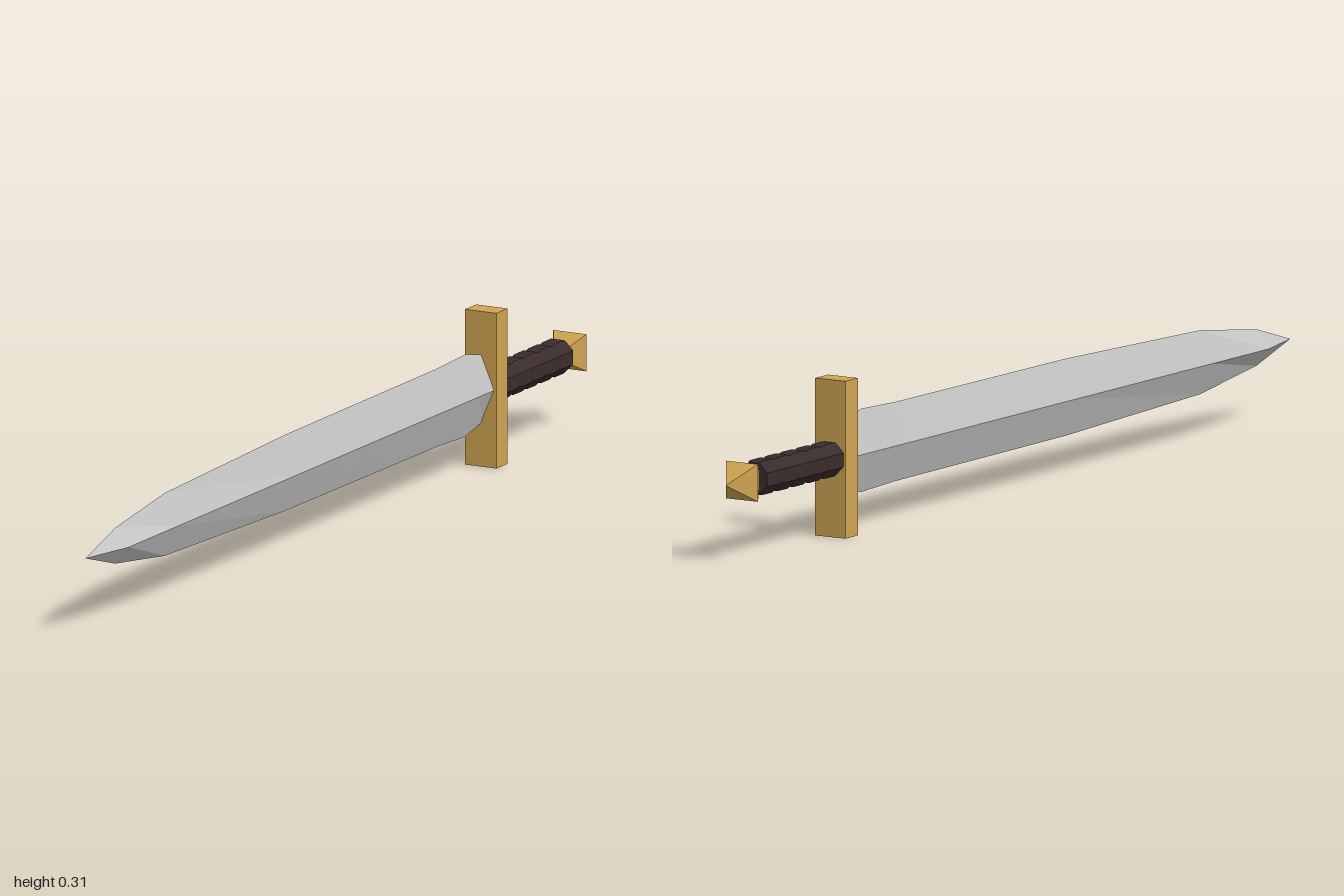
import * as THREE from 'three';

const AXIS_Y = 0.155;

// Flat-faced solid along z from sections [z, halfX, halfY], listed back to front
function loft(sections, sides, phase = 0) {
  const rings = sections.map(([z, hx, hy]) => Array.from({ length: sides }, (_, j) => {
    const a = phase + (j / sides) * Math.PI * 2;
    return [Math.cos(a) * hx, Math.sin(a) * hy, z];
  }));
  const pos = [];
  for (let i = 0; i < rings.length - 1; i++) {
    const [back, front] = [rings[i], rings[i + 1]];
    for (let j = 0; j < sides; j++) {
      const k = (j + 1) % sides;
      if (sections[i][1] > 0) pos.push(...back[j], ...back[k], ...front[k]);
      if (sections[i + 1][1] > 0) pos.push(...back[j], ...front[k], ...front[j]);
    }
  }
  const g = new THREE.BufferGeometry();
  g.setAttribute('position', new THREE.Float32BufferAttribute(pos, 3));
  g.computeVertexNormals();
  return g;
}

function material(name, color) {
  const m = new THREE.MeshStandardMaterial({ color, flatShading: true });
  m.name = name;
  return m;
}

export function createModel() {
  const group = new THREE.Group();
  group.name = 'sword';
  const steel = material('steel', 0xc4c4c4);
  const gold = material('gold', 0xcfa452);
  const leather = material('dark leather', 0x3a2c2d);

  const add = (name, geometry, mat, z = 0) => {
    const mesh = new THREE.Mesh(geometry, mat);
    mesh.name = name;
    mesh.position.set(0, AXIS_Y, z);
    group.add(mesh);
  };

  // Diamond-section blade, swelling by the guard and tapering to the tip
  add('blade', loft([
    [-0.6, 0.029, 0.066], [-0.52, 0.029, 0.082], [-0.4, 0.029, 0.078],
    [0.2, 0.029, 0.076], [0.68, 0.029, 0.063], [0.88, 0.029, 0.036],
    [1, 0, 0],
  ], 4), steel);

  // Upright block guard
  add('guard', new THREE.BoxGeometry(0.07, 0.31, 0.045), gold, -0.607);

  // Eight-sided grip with wrapped bands, closed at the back
  const bands = 5, start = -0.9, step = 0.275 / bands;
  const grip = [[start, 0, 0]];
  for (let i = 0; i < bands; i++) {
    const z = start + i * step;
    for (const [t, r] of [[0, 0.033], [0.15, 0.036], [0.8, 0.036], [0.95, 0.033]]) {
      grip.push([z + t * step, r, r]);
    }
  }
  grip.push([-0.62, 0.033, 0.033]);
  add('grip', loft(grip, 8, Math.PI / 8), leather);

  // Square double-pyramid pommel
  const corner = 0.037 * Math.SQRT2;
  add('pommel', loft([[-1, 0, 0], [-0.942, corner, corner], [-0.88, 0, 0]], 4, Math.PI / 4), gold);

  return group;
}
